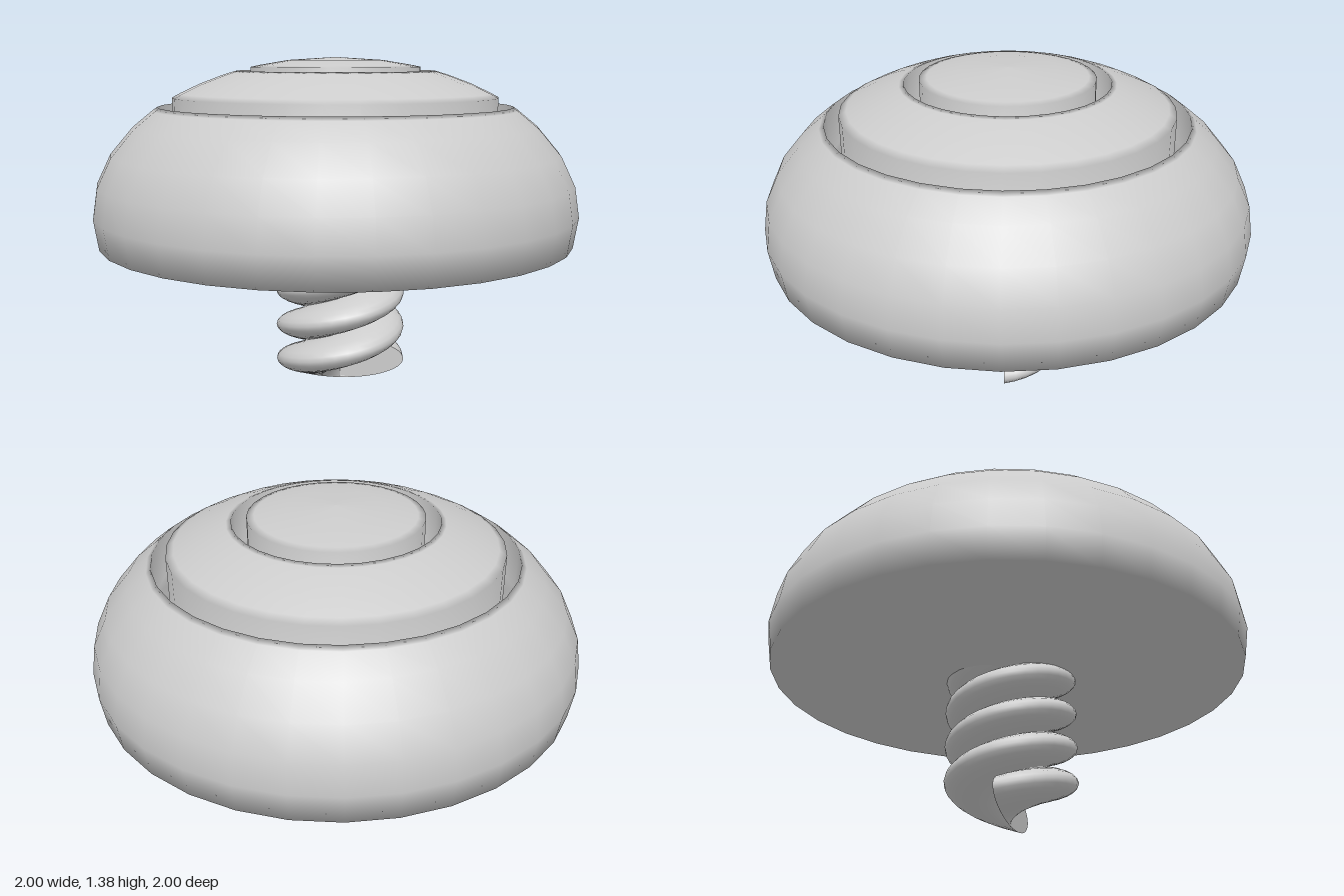
import * as THREE from 'three';

const material = new THREE.MeshStandardMaterial({ color: 0xcccccc, side: THREE.DoubleSide });
const SEGMENTS = 32;

// Height of the squashed sphere at a given radius
const domeY = (r) => 0.745 + 0.63 * Math.sqrt(1 - r * r);

// Domed head with two ring grooves and a flat underside
function createHead() {
  const profile = [];
  const add = (r, y) => profile.push(new THREE.Vector2(r, y));
  const onDome = (...radii) => radii.forEach((r) => add(r, domeY(r)));
  const groove = (outer, inner, floor) => {
    onDome(outer + 0.02, outer);
    add(outer, floor);
    add(inner, floor);
    onDome(inner);
  };
  add(0, 0.622);
  for (let i = -1; i <= 3; i++) {
    const a = (i * Math.PI) / 16;
    add(Math.cos(a), 0.745 + 0.63 * Math.sin(a));
  }
  groove(0.73, 0.67, 1.0);
  onDome(0.64, 0.556, 0.47);
  groove(0.41, 0.35, 1.15);
  onDome(0.32, 0.195, 0);
  const head = new THREE.Mesh(new THREE.LatheGeometry(profile, SEGMENTS), material);
  head.name = 'domedHead';
  return head;
}

// One thread: half an ellipse swept up and around the shank axis
function createThread(name) {
  const R = 0.273, H = 0.09, PITCH = 0.3, TURNS = 2.1;
  const steps = 68, sides = 16;
  const positions = [], index = [];
  for (let i = 0; i <= steps; i++) {
    const turn = (i / steps) * TURNS;
    const theta = turn * Math.PI * 2;
    for (let j = 0; j <= sides; j++) {
      const a = (j / sides - 0.5) * Math.PI;
      const r = R * Math.cos(a);
      positions.push(r * Math.cos(theta), H + H * Math.sin(a) + PITCH * turn, -r * Math.sin(theta));
      if (i < steps && j < sides) {
        const p = i * (sides + 1) + j, q = p + sides + 1;
        index.push(p, q, p + 1, q, q + 1, p + 1);
      }
    }
  }
  const geometry = new THREE.BufferGeometry();
  geometry.setAttribute('position', new THREE.Float32BufferAttribute(positions, 3));
  geometry.setIndex(index);
  geometry.computeVertexNormals();
  const sweep = new THREE.Mesh(geometry, material);
  sweep.name = name + 'Sweep';

  // Flat face closing the lower end
  const face = new THREE.Shape();
  face.absellipse(0, H, R, H, -Math.PI / 2, Math.PI / 2, false, 0);
  const cap = new THREE.Mesh(new THREE.ShapeGeometry(face, sides), material);
  cap.name = name + 'EndCap';

  const thread = new THREE.Group();
  thread.name = name;
  thread.add(sweep, cap);
  return thread;
}

export function createModel() {
  const model = new THREE.Group();
  model.name = 'domeHeadScrew';
  model.add(createHead());

  // Two-start shank, set slightly off the head's axis
  const shank = new THREE.Group();
  shank.name = 'threadedShank';
  shank.position.set(0.02, 0, 0.01);
  ['firstThread', 'secondThread'].forEach((name, i) => {
    const thread = createThread(name);
    thread.rotation.y = i * Math.PI;
    shank.add(thread);
  });
  model.add(shank);
  return model;
}
